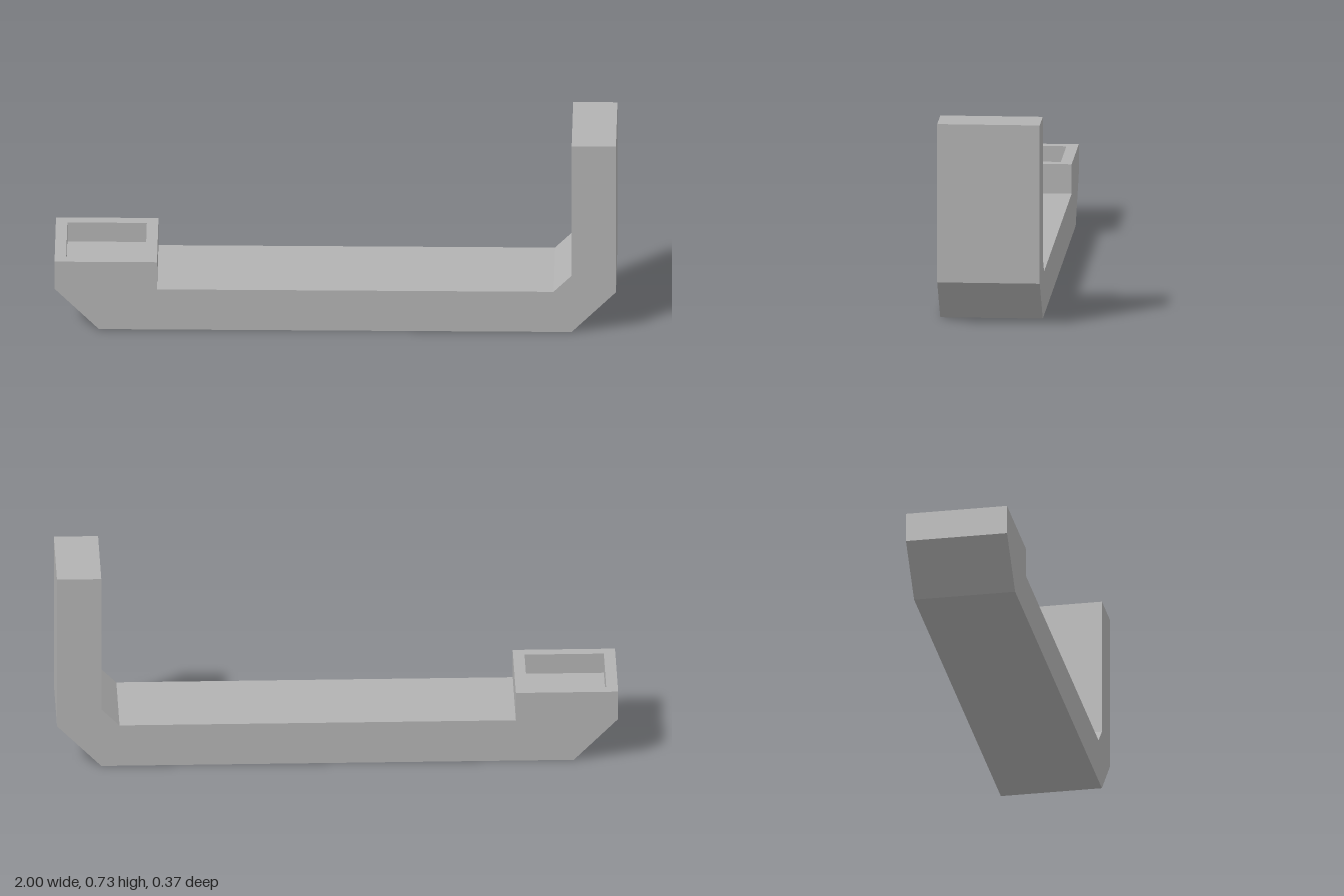
import * as THREE from 'three';

const HALF_DEPTH = 0.183;
const POCKET_FLOOR = 0.19;
const TRAY_TOP = 0.265;

export function createModel() {
  const group = new THREE.Group();
  group.name = 'bracket';
  const grey = new THREE.MeshStandardMaterial({ color: 0xb2b2b2 });
  grey.name = 'light grey';

  // Side profile: base bar, chamfered corners, upright and tray block up to the pocket floor
  const profile = new THREE.Shape([
    [-0.842, 0], [0.842, 0], [1, 0.158], [1, 0.733], [0.842, 0.733],
    [0.842, 0.222], [0.777, 0.158], [-0.635, 0.158],
    [-0.635, POCKET_FLOOR], [-1, POCKET_FLOOR], [-1, 0.158],
  ].map(([x, y]) => new THREE.Vector2(x, y)));
  const bodyGeometry = new THREE.ExtrudeGeometry(profile, { depth: 2 * HALF_DEPTH, bevelEnabled: false });
  bodyGeometry.translate(0, 0, -HALF_DEPTH);
  const body = new THREE.Mesh(bodyGeometry, grey);
  body.name = 'barAndUpright';
  group.add(body);

  // Square rim around the shallow pocket
  const rectangle = (Type, x0, x1, h) => new Type([
    new THREE.Vector2(x0, -h), new THREE.Vector2(x1, -h),
    new THREE.Vector2(x1, h), new THREE.Vector2(x0, h),
  ]);
  const rimShape = rectangle(THREE.Shape, -1, -0.635, HALF_DEPTH);
  rimShape.holes.push(rectangle(THREE.Path, -0.959, -0.676, 0.1415));
  const rimGeometry = new THREE.ExtrudeGeometry(rimShape, { depth: TRAY_TOP - POCKET_FLOOR, bevelEnabled: false });
  rimGeometry.rotateX(-Math.PI / 2).translate(0, POCKET_FLOOR, 0);
  const rim = new THREE.Mesh(rimGeometry, grey);
  rim.name = 'pocketRim';
  group.add(rim);

  return group;
}
